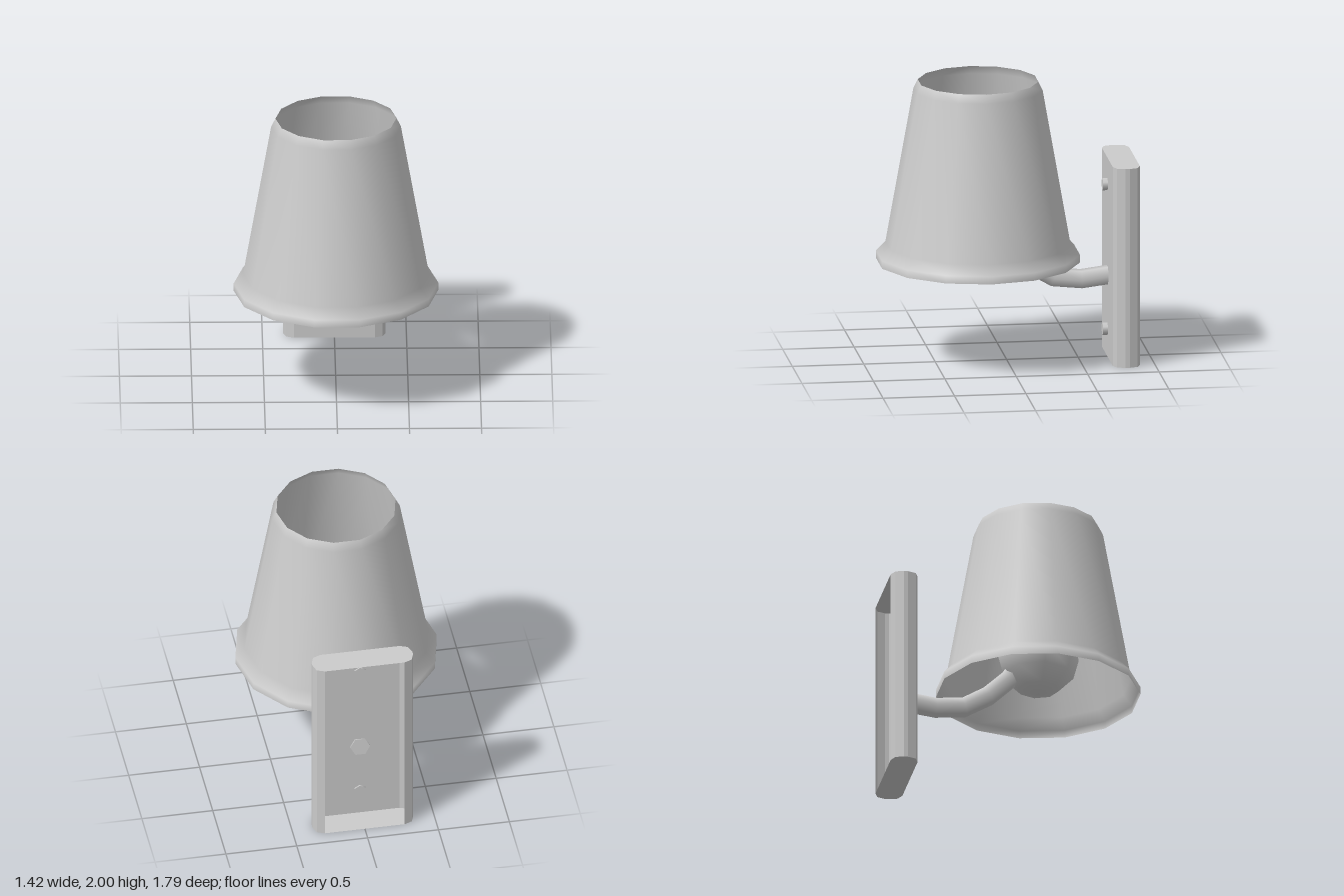
import * as THREE from 'three';
import { toCreasedNormals } from 'three/addons/utils/BufferGeometryUtils.js';

export function createModel() {
  const group = new THREE.Group();
  const grey = new THREE.MeshStandardMaterial({ color: 0xcccccc, side: THREE.DoubleSide });
  grey.name = 'pale grey';

  const add = (name, geometry, parent = group) => {
    const mesh = new THREE.Mesh(geometry, grey);
    mesh.name = name;
    parent.add(mesh);
    return mesh;
  };

  // Open tapered shade with a flared lower rim, 14 sides
  const shadeProfile = [[0.71, 0.715], [0.71, 0.77], [0.645, 0.84], [0.45, 1.94], [0.42, 2]]
    .map(([r, y]) => new THREE.Vector2(r, y));
  add('shade', new THREE.LatheGeometry(shadeProfile, 14, Math.PI / 2)).position.z = 0.2;

  // Low-poly bulb
  add('bulb', new THREE.SphereGeometry(0.287, 8, 6)).position.set(0, 1.01, 0.2);

  // Six-sided curved arm running up through the bulb
  const arm = new THREE.CatmullRomCurve3([
    [0.585, -0.72], [0.56, -0.51], [0.585, -0.31], [0.70, -0.13],
    [0.83, 0], [1.0, 0.1], [1.18, 0.165], [1.37, 0.2],
  ].map(([y, z]) => new THREE.Vector3(0, y, z)));
  add('arm', new THREE.TubeGeometry(arm, 7, 0.07, 6));
  for (const end of [0, 1]) {
    const cap = add('armEnd', new THREE.CircleGeometry(0.07, 6));
    const out = arm.getTangentAt(end).multiplyScalar(end ? 1 : -1);
    cap.position.copy(arm.getPointAt(end));
    cap.lookAt(cap.position.clone().add(out));
  }

  // Hollow wall plate, open at the back
  const plate = new THREE.Group();
  plate.name = 'wallPlate';
  group.add(plate);
  const height = 1.42;
  const half = [[0.28, -0.705], [0.335, -0.728], [0.355, -0.785], [0.355, -0.815], [0.335, -0.872], [0.28, -0.895]];
  const outline = [...half.map(([x, z]) => [-x, z]).reverse(), ...half];
  const positions = [];
  const indices = [];
  outline.forEach(([x, z], i) => {
    positions.push(x, 0, z, x, height, z);
    if (i > 0) {
      const a = 2 * i - 2;
      indices.push(a, a + 2, a + 1, a + 1, a + 2, a + 3);
    }
  });
  const walls = new THREE.BufferGeometry();
  walls.setAttribute('position', new THREE.Float32BufferAttribute(positions, 3));
  walls.setIndex(indices);
  add('plateWalls', toCreasedNormals(walls, 0.3), plate);

  // Top and bottom of the plate
  for (const top of [true, false]) {
    const s = top ? -1 : 1;
    const shape = new THREE.Shape(outline.map(([x, z]) => new THREE.Vector2(x, s * z)));
    const lid = add(top ? 'plateTop' : 'plateBottom', new THREE.ShapeGeometry(shape), plate);
    lid.rotation.x = s * Math.PI / 2;
    lid.position.y = top ? height : 0;
  }

  // Hexagonal screws
  for (const y of [0.197, 1.23]) {
    const screw = add('screw', new THREE.CylinderGeometry(0.044, 0.044, 0.045, 6).rotateX(Math.PI / 2));
    screw.position.set(0, y, -0.693);
  }

  return group;
}
